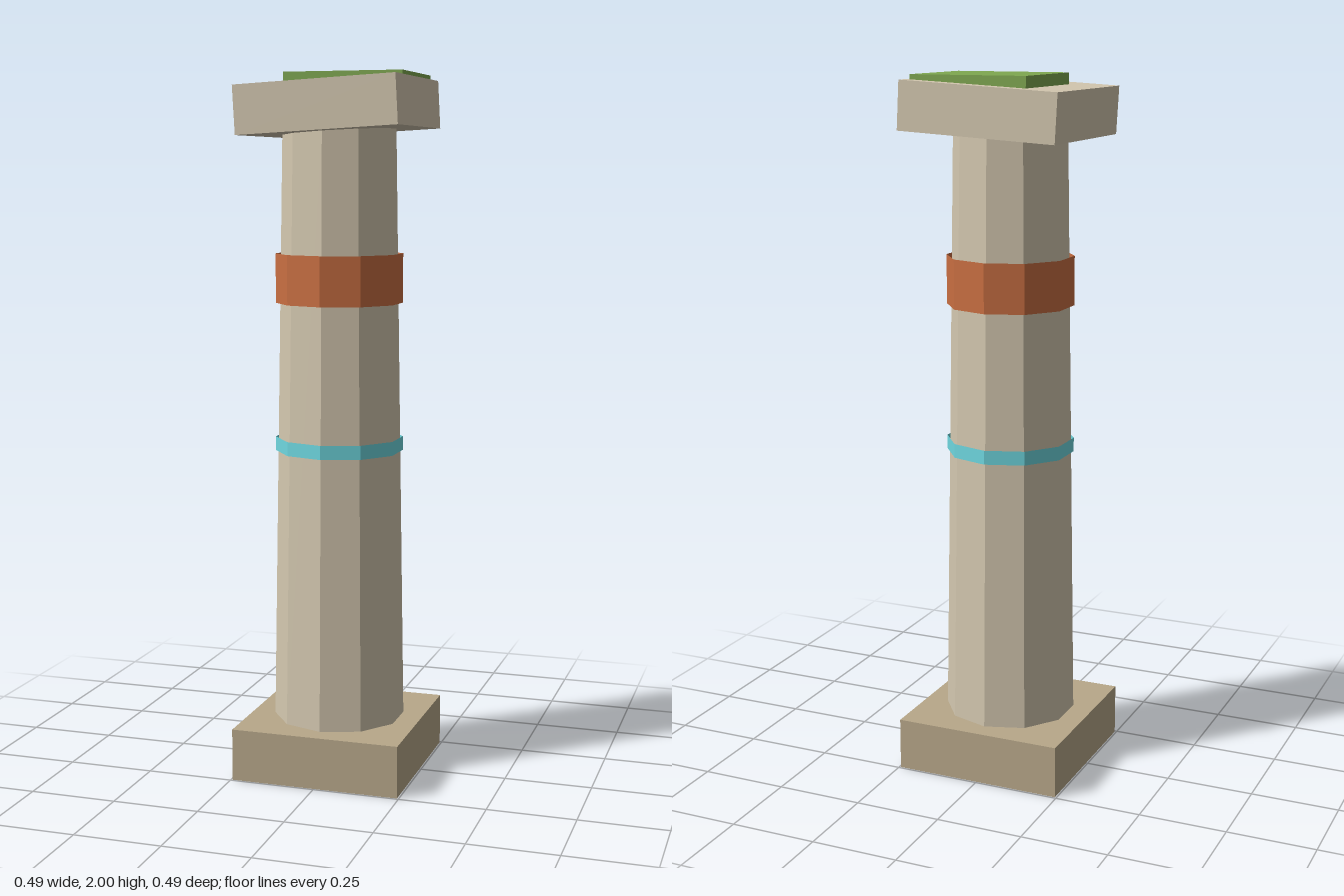
import * as THREE from 'three';

const SIDES = 10;

export function createModel() {
  const model = new THREE.Group();

  const material = (color, side = THREE.FrontSide) =>
    new THREE.MeshStandardMaterial({ color, flatShading: true, side });
  const stone = material(0xd4c8b0);

  const add = (name, geometry, mat, x, y, z) => {
    const mesh = new THREE.Mesh(geometry, mat);
    mesh.name = name;
    mesh.position.set(x, y, z);
    model.add(mesh);
    return mesh;
  };

  // Square plinth
  add('base', new THREE.BoxGeometry(0.49, 0.15, 0.49), material(0xb8a88a), 0, 0.075, 0);

  // Tapered ten-sided shaft, its top end against the capital
  add('shaft', new THREE.CylinderGeometry(0.16, 0.189, 1.7, SIDES), stone, 0, 1.0, 0);

  // Open bands wrapped around the shaft
  const band = (name, radius, bottom, top, color) =>
    add(name, new THREE.CylinderGeometry(radius, radius, top - bottom, SIDES, 1, true),
      material(color, THREE.DoubleSide), 0, (bottom + top) / 2, 0);
  band('wideBand', 0.181, 1.36, 1.5, 0xc96f42);
  band('narrowBand', 0.183, 0.935, 0.975, 0x6fd8e0);

  // Slightly tilted capital
  const capital = add('capital', new THREE.BoxGeometry(0.46, 0.135, 0.46), stone, 0, 1.907, 0);
  capital.rotation.z = 0.055;

  // Level moss patch, off-centre and partly sunk into the capital
  add('mossPatch', new THREE.BoxGeometry(0.34, 0.04, 0.306), material(0x7fa850), 0.045, 1.98, -0.032);

  return model;
}
